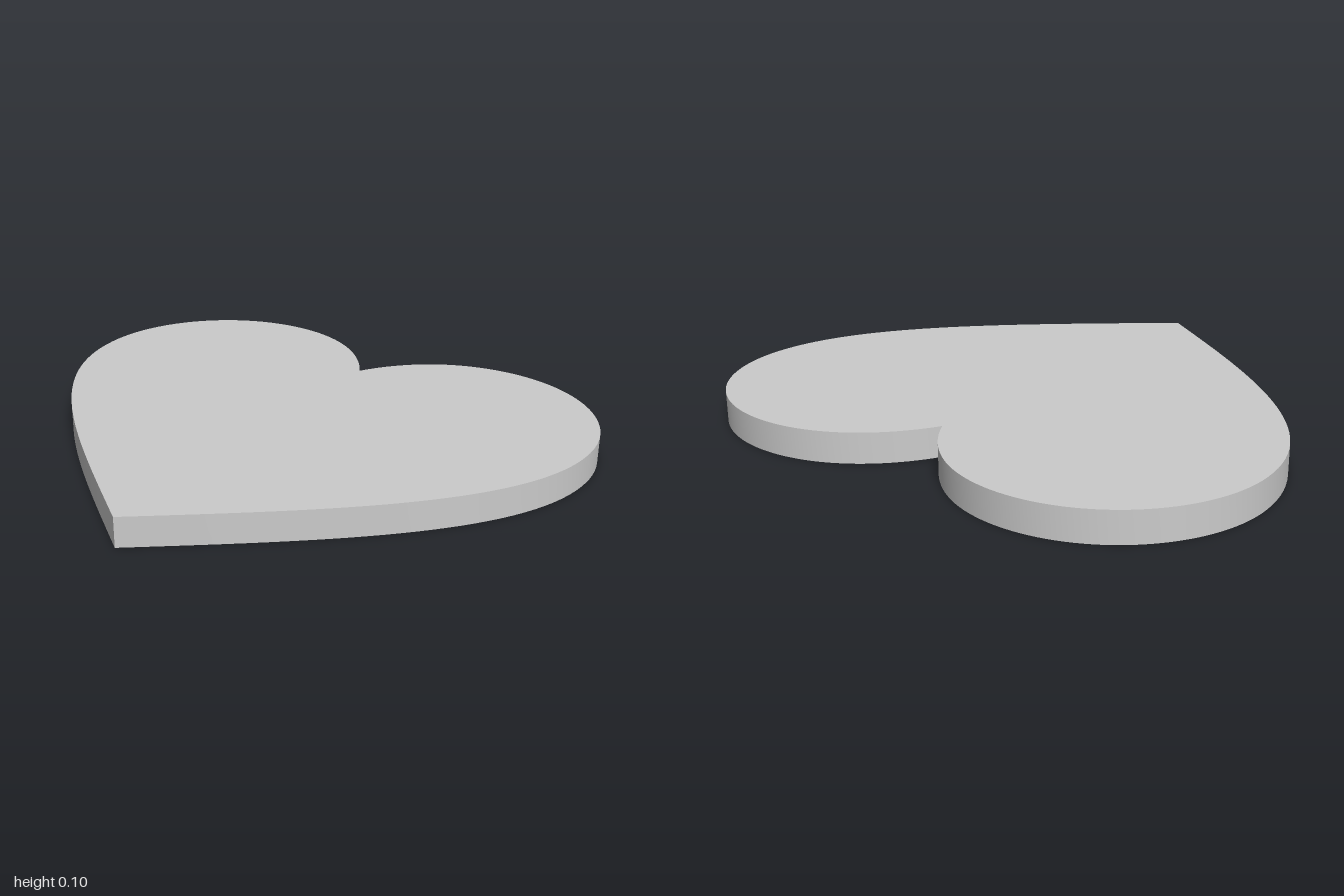
import * as THREE from 'three';
import { toCreasedNormals } from 'three/addons/utils/BufferGeometryUtils.js';

const THICKNESS = 0.103;

// Right half of the outline from notch to tip: [control 1, control 2, end] as x, z
const NOTCH = [0, -0.57];
const TIP = [0, 0.86];
const HALF = [
  [0.1, -0.75, 0.27, -0.865, 0.475, -0.865],
  [0.765, -0.865, 1, -0.63, 1, -0.34],
  [1, 0.1, 0.52, 0.46, ...TIP],
];

function heartShape() {
  const shape = new THREE.Shape();
  shape.moveTo(...NOTCH);
  HALF.forEach((c) => shape.bezierCurveTo(...c));
  // Mirrored half, walked back from tip to notch
  for (let i = HALF.length - 1; i >= 0; i--) {
    const [ax, az, bx, bz] = HALF[i];
    const [ex, ez] = i > 0 ? HALF[i - 1].slice(4) : NOTCH;
    shape.bezierCurveTo(-bx, bz, -ax, az, -ex, ez);
  }
  return shape;
}

export function createModel() {
  const group = new THREE.Group();
  group.name = 'heart';

  // Flat plate lying on the ground, tip towards the front
  const geometry = new THREE.ExtrudeGeometry(heartShape(), {
    depth: THICKNESS,
    bevelEnabled: false,
    curveSegments: 32,
  });
  geometry.rotateX(Math.PI / 2);
  geometry.translate(0, THICKNESS, 0);

  const plate = new THREE.Mesh(
    toCreasedNormals(geometry, Math.PI / 6),
    new THREE.MeshStandardMaterial({ color: 0xcccccc })
  );
  plate.name = 'heartPlate';
  group.add(plate);
  return group;
}
